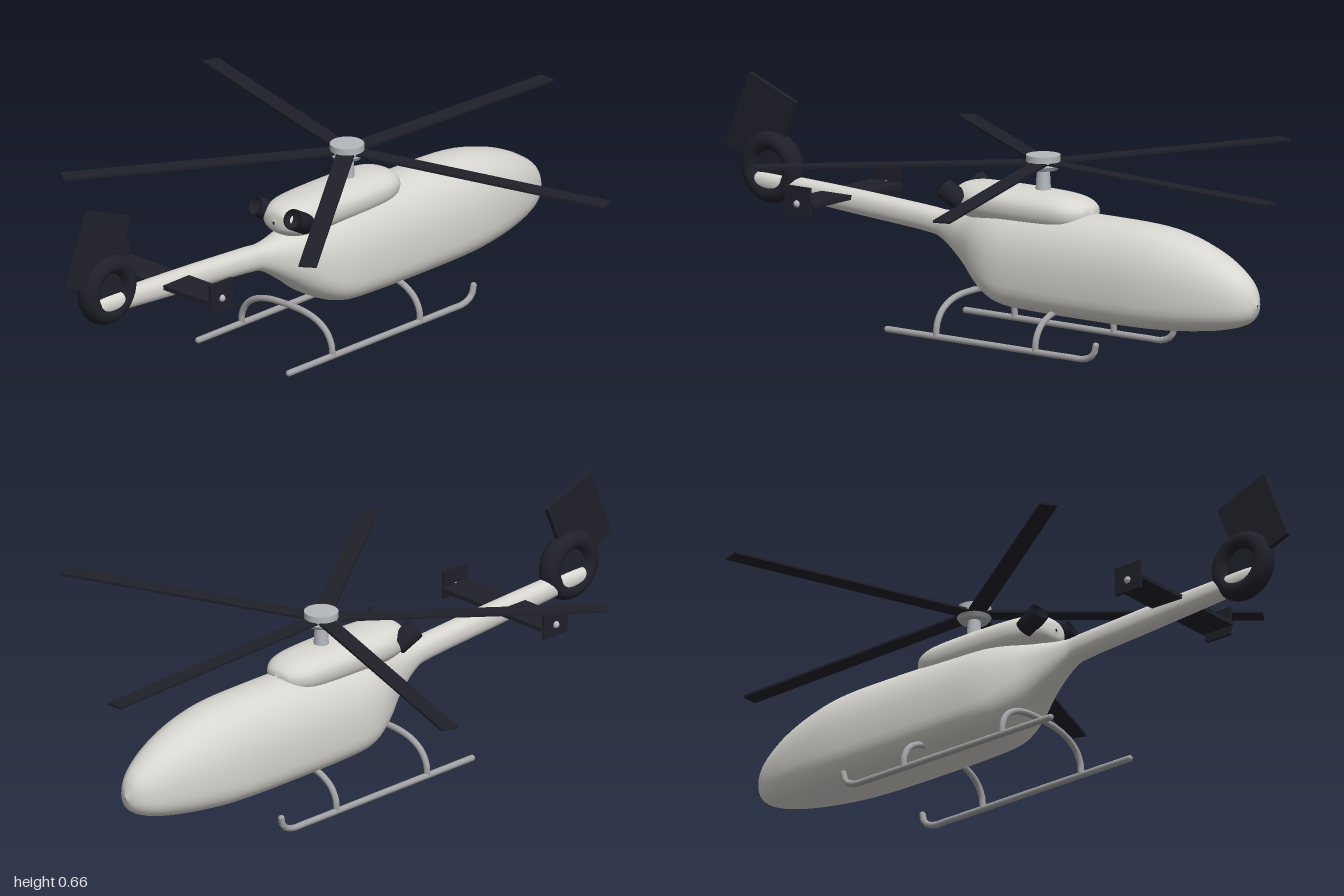
import * as THREE from 'three';

const V = (x, y, z) => new THREE.Vector3(x, y, z);

const mat = (name, color) => {
  const m = new THREE.MeshStandardMaterial({ color });
  m.name = name;
  return m;
};

// Smooth hull through stations [x, bottom, top, waist, halfWidth, lowerExponent], from tail to nose
function loft(stations, steps = 5, sides = 40) {
  const curveA = new THREE.CatmullRomCurve3(stations.map(s => V(s[0], s[1], s[2])), false, 'catmullrom', 0.5);
  const curveB = new THREE.CatmullRomCurve3(stations.map(s => V(s[3], s[4], s[5])), false, 'catmullrom', 0.5);
  const rings = (stations.length - 1) * steps;
  const pos = [], idx = [];
  const power = (v, n) => Math.sign(v) * Math.pow(Math.abs(v), 2 / n);
  for (let i = 0; i <= rings; i++) {
    const a = curveA.getPoint(i / rings), b = curveB.getPoint(i / rings);
    for (let j = 0; j < sides; j++) {
      const t = (j / sides) * Math.PI * 2, s = Math.sin(t);
      const n = s < 0 ? b.z : 2.25;
      const height = s < 0 ? b.x - a.y : a.z - b.x;
      pos.push(a.x, b.x + height * power(s, n), b.y * power(Math.cos(t), n));
    }
  }
  for (let i = 0; i < rings; i++) {
    for (let j = 0; j < sides; j++) {
      const k = (j + 1) % sides, p = i * sides, q = p + sides;
      idx.push(p + j, q + j, p + k, q + j, q + k, p + k);
    }
  }
  const g = new THREE.BufferGeometry();
  g.setAttribute('position', new THREE.Float32BufferAttribute(pos, 3));
  g.setIndex(idx);
  g.computeVertexNormals();
  return g;
}

export function createModel() {
  const model = new THREE.Group();
  model.name = 'helicopter';
  const white = mat('warm white paint', 0xd8d6d0);
  const dark = mat('dark composite', 0x20202a);
  const metal = mat('grey metal', 0xa2a2a4);
  const hubGrey = mat('pale hub metal', 0xb4b8bc);

  const add = (name, geometry, material, x = 0, y = 0, z = 0, parent = model) => {
    const m = new THREE.Mesh(geometry, material);
    m.name = name;
    m.position.set(x, y, z);
    parent.add(m);
    return m;
  };

  // Cabin and tail boom in one hull
  add('fuselage', loft([
    [-0.89, 0.345, 0.347, 0.346, 0.001, 2.2],
    [-0.885, 0.322, 0.372, 0.347, 0.026, 2.2],
    [-0.75, 0.308, 0.371, 0.34, 0.029, 2.2],
    [-0.5, 0.289, 0.361, 0.325, 0.032, 2.2],
    [-0.26, 0.272, 0.347, 0.31, 0.034, 2.2],
    [-0.19, 0.255, 0.342, 0.3, 0.038, 2.3],
    [-0.1, 0.195, 0.355, 0.275, 0.066, 2.5],
    [-0.02, 0.137, 0.378, 0.24, 0.104, 2.8],
    [0.06, 0.105, 0.39, 0.215, 0.126, 3.2],
    [0.18, 0.097, 0.394, 0.21, 0.131, 3.3],
    [0.4, 0.095, 0.396, 0.21, 0.132, 3.3],
    [0.58, 0.096, 0.393, 0.21, 0.129, 3.2],
    [0.7, 0.101, 0.375, 0.207, 0.117, 2.9],
    [0.81, 0.113, 0.339, 0.203, 0.094, 2.6],
    [0.89, 0.131, 0.295, 0.2, 0.066, 2.4],
    [0.935, 0.156, 0.254, 0.2, 0.037, 2.2],
    [0.955, 0.198, 0.204, 0.201, 0.002, 2.2],
  ]), white);

  // Engine cowling on the roof
  add('engineCowling', loft([
    [-0.14, 0.385, 0.395, 0.39, 0.004, 2.2],
    [-0.13, 0.36, 0.425, 0.39, 0.05, 2.2],
    [-0.09, 0.34, 0.444, 0.39, 0.076, 2.2],
    [0, 0.33, 0.448, 0.395, 0.09, 2.2],
    [0.2, 0.33, 0.448, 0.395, 0.09, 2.2],
    [0.29, 0.34, 0.44, 0.395, 0.08, 2.2],
    [0.335, 0.36, 0.42, 0.395, 0.048, 2.2],
    [0.347, 0.39, 0.4, 0.395, 0.004, 2.2],
  ]), white);

  // Twin exhausts, open at the rear and tilted up
  const pipeProfile = [[0, -0.036], [0.031, -0.036], [0.031, 0.036], [0.024, 0.036], [0.022, 0.01], [0, 0.01]];
  const pipe = new THREE.LatheGeometry(pipeProfile.map(p => new THREE.Vector2(...p)), 20);
  for (const s of [1, -1]) {
    const e = add('exhaust', pipe, dark, -0.108, 0.405, s * 0.07);
    e.quaternion.setFromUnitVectors(V(0, 1, 0), V(-0.86, 0.48, s * 0.15).normalize());
  }

  // Main rotor
  const rotor = new THREE.Group();
  rotor.name = 'mainRotor';
  rotor.position.set(0.165, 0, 0);
  model.add(rotor);
  add('mast', new THREE.CylinderGeometry(0.018, 0.024, 0.1, 20), hubGrey, 0, 0.47, 0, rotor);
  add('hub', new THREE.CylinderGeometry(0.05, 0.05, 0.022, 28), hubGrey, 0, 0.538, 0, rotor);
  add('lowerHub', new THREE.CylinderGeometry(0.05, 0.042, 0.012, 28), hubGrey, 0, 0.512, 0, rotor);
  for (let i = 0; i < 5; i++) {
    const arm = new THREE.Group();
    arm.name = 'bladeArm';
    arm.rotation.y = (i * Math.PI * 2) / 5;
    rotor.add(arm);
    const blade = add('rotorBlade', new THREE.BoxGeometry(0.82, 0.007, 0.052), dark, 0.425, 0.516, 0, arm);
    blade.rotation.z = -0.028;
  }

  // Shrouded tail fan
  add('fanShroud', new THREE.TorusGeometry(0.077, 0.029, 16, 40), dark, -0.833, 0.39, 0).scale.z = 1.15;
  const disc = add('fanDisc', new THREE.CylinderGeometry(0.066, 0.066, 0.022, 32), dark, -0.833, 0.39, 0);
  disc.rotation.x = Math.PI / 2;

  // Swept vertical fin
  const fin = new THREE.Shape([[-1, 0.443], [-0.83, 0.375], [-0.742, 0.59], [-0.914, 0.658]]
    .map(p => new THREE.Vector2(...p)));
  add('tailFin', new THREE.ExtrudeGeometry(fin, { depth: 0.014, bevelEnabled: false }), dark, 0, 0, -0.007);

  // Stabiliser with end plates and small lamps
  add('stabiliser', new THREE.BoxGeometry(0.11, 0.013, 0.41), dark, -0.575, 0.342, 0);
  for (const s of [1, -1]) {
    add('endPlate', new THREE.BoxGeometry(0.092, 0.085, 0.01), dark, -0.575, 0.353, s * 0.206);
    add('lamp', new THREE.SphereGeometry(0.011, 14, 10), hubGrey, -0.575, 0.345, s * 0.21);
  }

  // Landing skids and bowed struts
  const tube = (points, r) => new THREE.TubeGeometry(
    new THREE.CatmullRomCurve3(points.map(p => V(...p))), 40, r, 12);
  for (const s of [1, -1]) {
    const z = s * 0.181;
    add('skid', tube([[-0.265, 0.011, z], [0.1, 0.011, z], [0.4, 0.011, z], [0.465, 0.013, z],
      [0.495, 0.03, z], [0.503, 0.057, z]], 0.0095), metal);
    for (const x of [-0.265, 0.503]) {
      add('skidCap', new THREE.SphereGeometry(0.0095, 12, 8), metal, x, x < 0 ? 0.011 : 0.057, z);
    }
    for (const x of [-0.085, 0.28]) {
      add('skidStrut', tube([[x, 0.012, z], [x, 0.045, s * 0.178], [x, 0.08, s * 0.158],
        [x, 0.105, s * 0.12], [x, 0.118, s * 0.07], [x, 0.122, 0]], 0.0095), metal);
    }
  }
  return model;
}
